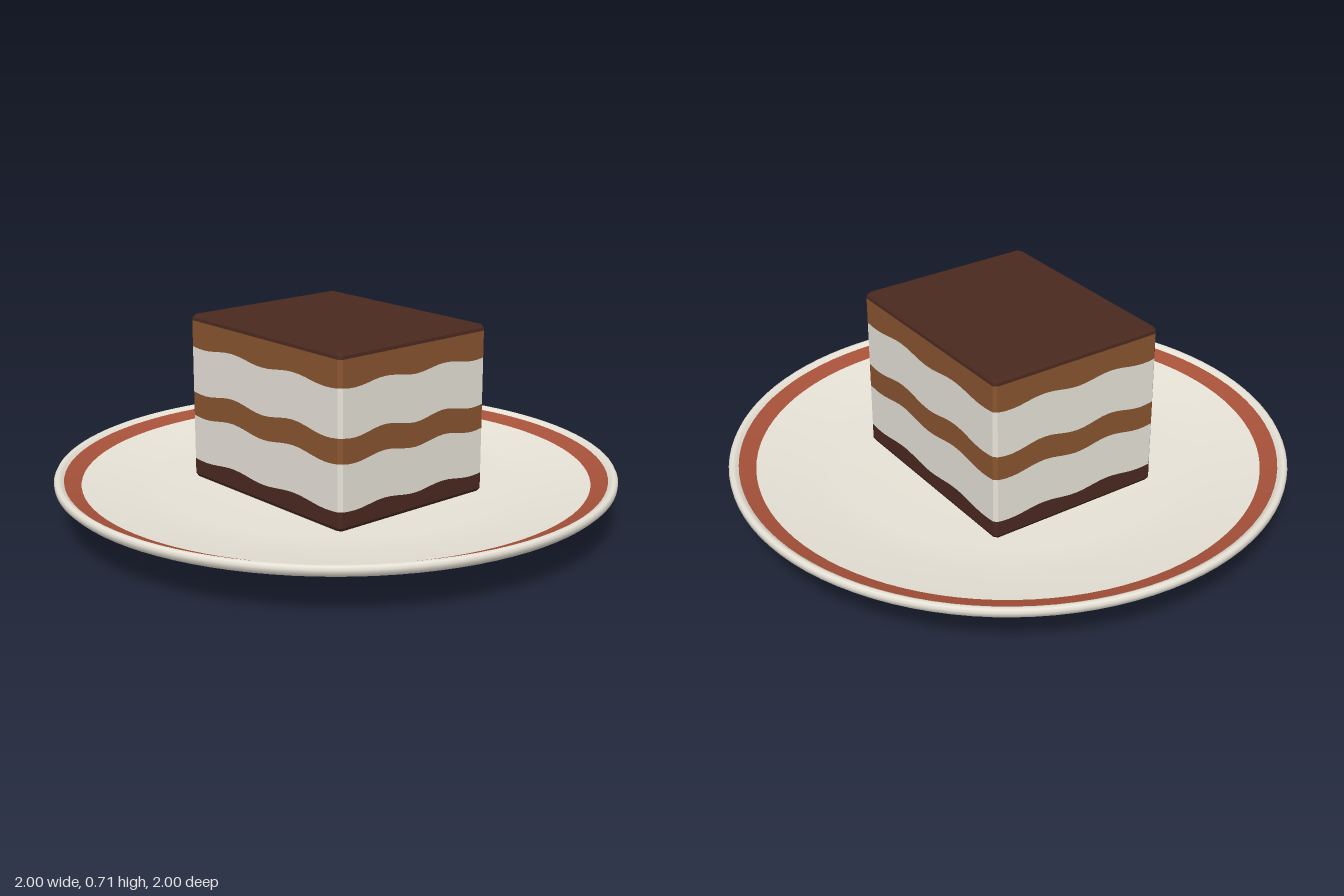
import * as THREE from 'three';
import { toCreasedNormals } from 'three/addons/utils/BufferGeometryUtils.js';

const mat = (name, color) => {
  const m = new THREE.MeshStandardMaterial({ color });
  m.name = name;
  return m;
};

const HX = 0.405, HZ = 0.335, BEVEL = 0.012, STEPS = 24;

// Outline of the slice, anticlockwise from above; u runs -1..1 along each side
function outline() {
  const pts = [];
  for (let side = 0; side < 4; side++) {
    const along = side % 2 ? HZ : HX, out = side % 2 ? HX : HZ;
    for (let i = 0; i <= STEPS; i++) {
      const u = (i / STEPS) * 2 - 1;
      const p = new THREE.Vector2(u * (along - BEVEL), out);
      const a = side * Math.PI / 2;
      pts.push({
        x: p.x * Math.cos(a) + p.y * Math.sin(a),
        z: -p.x * Math.sin(a) + p.y * Math.cos(a),
        u,
      });
    }
  }
  return pts;
}

// Skin through rings of { y, wave, scale }, from bottom to top
function layerGeometry(rings) {
  const pts = outline(), n = pts.length, pos = [], idx = [];
  rings.forEach(({ y, wave = 0, scale = 1 }, r) => {
    pts.forEach((p) => pos.push(p.x * scale, y - wave * Math.cos(p.u * Math.PI * 2 / 0.85), p.z * scale));
    if (r === 0) return;
    for (let i = 0; i < n; i++) {
      const j = (i + 1) % n, lo = (r - 1) * n, hi = r * n;
      if (rings[r - 1].scale !== 0) idx.push(lo + i, lo + j, hi + j);
      else idx.push(lo + i, hi + j, hi + i);
      if (scale !== 0 && rings[r - 1].scale !== 0) idx.push(lo + i, hi + j, hi + i);
    }
  });
  const g = new THREE.BufferGeometry();
  g.setAttribute('position', new THREE.Float32BufferAttribute(pos, 3));
  g.setIndex(idx);
  return toCreasedNormals(g, 0.5);
}

const lathe = (points) => new THREE.LatheGeometry(points.map(([x, y]) => new THREE.Vector2(x, y)), 96);

export function createModel() {
  const china = mat('china', 0xe9e4d8);
  const red = mat('red glaze', 0xa8523a);
  const chocolate = mat('chocolate', 0x4a291f);
  const sponge = mat('sponge', 0x8a5530);
  const cream = mat('cream', 0xeeeae0);

  const model = new THREE.Group();
  const add = (parent, name, geometry, material) => {
    const mesh = new THREE.Mesh(geometry, material);
    mesh.name = name;
    parent.add(mesh);
  };

  // Plate: one profile, split where the stripe colour changes
  const plate = new THREE.Group();
  plate.name = 'plate';
  add(plate, 'plateUnderside', lathe([
    [0, 0], [0.3, 0], [0.55, 0], [0.58, 0.038], [0.67, 0.055], [0.72, 0.065], [0.905, 0.119],
  ]), china);
  add(plate, 'stripeUnderside', lathe([[0.905, 0.119], [0.955, 0.134]]), red);
  add(plate, 'plateRim', lathe([
    [0.955, 0.134], [0.985, 0.146], [0.998, 0.158], [1, 0.172], [0.995, 0.182], [0.985, 0.185], [0.975, 0.18], [0.965, 0.172],
  ]), china);
  add(plate, 'stripe', lathe([[0.965, 0.172], [0.905, 0.152]]), red);
  add(plate, 'plateTop', lathe([
    [0.905, 0.152], [0.72, 0.122], [0.6, 0.114], [0.4, 0.112], [0, 0.112],
  ]), china);
  model.add(plate);

  // Cake slice: stacked layers with wavy borders
  const cake = new THREE.Group();
  cake.name = 'cakeSlice';
  const base = { y: 0.185, wave: 0.007 };
  const cream1 = { y: 0.35, wave: 0.009 };
  const sponge1 = { y: 0.438, wave: 0.01 };
  const cream2 = { y: 0.604, wave: 0.008 };
  const sponge2 = { y: 0.695 };
  add(cake, 'chocolateBase', layerGeometry([
    { y: 0.113, scale: 0 }, { y: 0.113, scale: 0.98 }, { y: 0.125 }, base,
  ]), chocolate);
  add(cake, 'lowerCream', layerGeometry([base, cream1]), cream);
  add(cake, 'lowerSponge', layerGeometry([cream1, sponge1]), sponge);
  add(cake, 'upperCream', layerGeometry([sponge1, cream2]), cream);
  add(cake, 'upperSponge', layerGeometry([cream2, sponge2]), sponge);
  add(cake, 'chocolateTop', layerGeometry([
    sponge2, { y: 0.706, scale: 0.997 }, { y: 0.715, scale: 0.975 }, { y: 0.715, scale: 0 },
  ]), chocolate);
  model.add(cake);

  return model;
}
